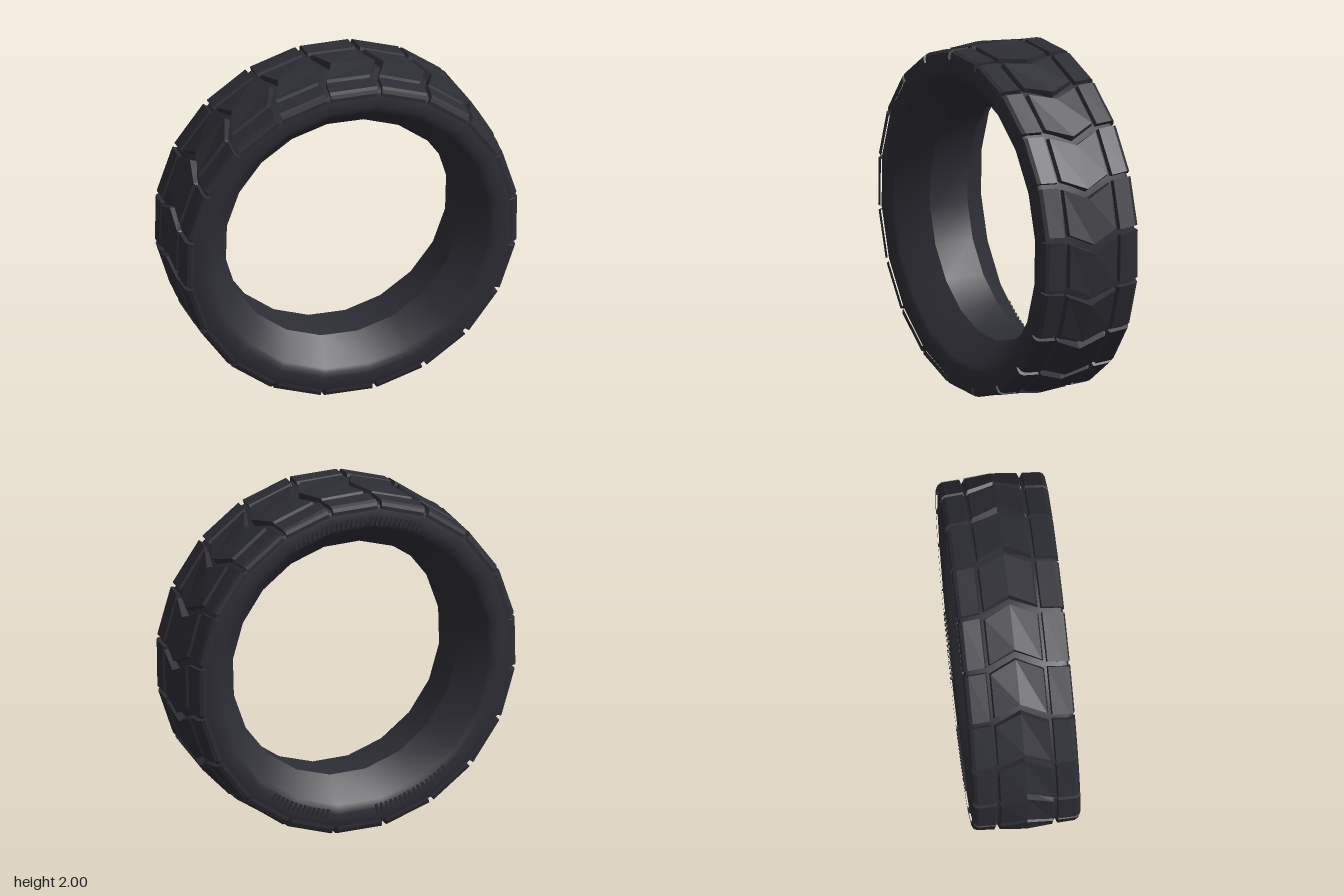
import * as THREE from 'three';
import { toCreasedNormals } from 'three/addons/utils/BufferGeometryUtils.js';

const COUNT = 20;            // tread blocks around the tyre
const PITCH = 360 / COUNT;   // degrees per block
const PHASE = 7.5;           // angle of the first shoulder groove
const rad = THREE.MathUtils.degToRad;

const polar = (deg, r, z) => [r * Math.cos(rad(deg)), r * Math.sin(rad(deg)), z];

// Bevelled block swept along z; each column is { z, r, shift } and the
// block covers from..to degrees, moved sideways by shift.
function blockGeometry(columns, from, to, bevel, base) {
  const sections = columns.map(({ z, r, shift = 0 }) => [
    polar(from + shift, base, z),
    polar(from + shift + bevel, r, z),
    polar(to + shift - bevel, r, z),
    polar(to + shift, base, z),
  ]);
  const out = [];
  const quad = (a, b, c, d) => out.push(...a, ...b, ...c, ...a, ...c, ...d);
  for (let i = 0; i < sections.length - 1; i++) {
    const s = sections[i], t = sections[i + 1];
    for (let j = 0; j < 3; j++) quad(s[j], s[j + 1], t[j + 1], t[j]);
  }
  const first = sections[0], last = sections[sections.length - 1];
  quad(first[3], first[2], first[1], first[0]);
  quad(last[0], last[1], last[2], last[3]);
  const g = new THREE.BufferGeometry();
  g.setAttribute('position', new THREE.Float32BufferAttribute(out, 3));
  g.computeVertexNormals();
  return g;
}

export function createModel() {
  const group = new THREE.Group();
  group.name = 'tyre';
  const rubber = new THREE.MeshStandardMaterial({ color: 0x2d2d35 });
  rubber.name = 'darkRubber';

  const add = (name, geometry, parent = group) => {
    const mesh = new THREE.Mesh(geometry, rubber);
    mesh.name = name;
    parent.add(mesh);
    return mesh;
  };

  const wheel = new THREE.Group();
  wheel.name = 'wheelRing';
  wheel.position.y = 1;
  group.add(wheel);

  // Carcass: sidewalls, tread floor and the inner face flaring to both sides
  const half = [[0.69, 0.12], [0.82, 0.275], [0.84, 0.29], [0.87, 0.295], [0.93, 0.295], [0.955, 0.285], [0.967, 0.26]];
  const profile = [
    ...half.map(([r, z]) => new THREE.Vector2(r, -z)),
    ...half.slice().reverse().map(([r, z]) => new THREE.Vector2(r, z)),
    new THREE.Vector2(0.69, -0.12),
  ];
  const carcass = new THREE.LatheGeometry(profile, COUNT, rad(PHASE), Math.PI * 2);
  carcass.rotateX(Math.PI / 2);
  add('carcass', toCreasedNormals(carcass, 0.6), wheel);

  // Tread: a chevron block in the middle and a shoulder block on each side
  const chevron = blockGeometry([
    { z: -0.155, r: 0.975 },
    { z: -0.147, r: 0.992, shift: -0.2 },
    { z: 0, r: 1.002, shift: -4.2 },
    { z: 0.147, r: 0.992, shift: -0.2 },
    { z: 0.155, r: 0.975 },
  ], 0.9, PITCH - 0.9, 0.7, 0.945);
  const shoulderColumns = [
    { z: 0.17, r: 0.972 },
    { z: 0.177, r: 0.99 },
    { z: 0.275, r: 0.986, shift: 0.5 },
    { z: 0.295, r: 0.975, shift: 0.6 },
    { z: 0.303, r: 0.955, shift: 0.6 },
  ];
  const mirrored = shoulderColumns.map((c) => ({ ...c, z: -c.z })).reverse();
  const shoulders = [shoulderColumns, mirrored].map((c) => blockGeometry(c, 0.6, PITCH - 0.6, 0.3, 0.935));

  for (let i = 0; i < COUNT; i++) {
    const turn = rad(PHASE + i * PITCH);
    add('chevronBlock', chevron, wheel).rotation.z = turn;
    add('frontShoulderBlock', shoulders[0], wheel).rotation.z = turn;
    add('backShoulderBlock', shoulders[1], wheel).rotation.z = turn;
  }

  // Fine raised ribs on the back sidewall, in four arcs
  const rib = new THREE.BoxGeometry(0.05, 0.014, 0.016);
  for (const [from, to] of [[64, 92], [96, 116], [232, 262], [282, 307]]) {
    for (let a = from; a <= to; a += 2) {
      const mesh = add('sidewallRib', rib, wheel);
      mesh.position.set(...polar(a, 0.865, -0.296));
      mesh.rotation.z = rad(a);
    }
  }
  return group;
}
